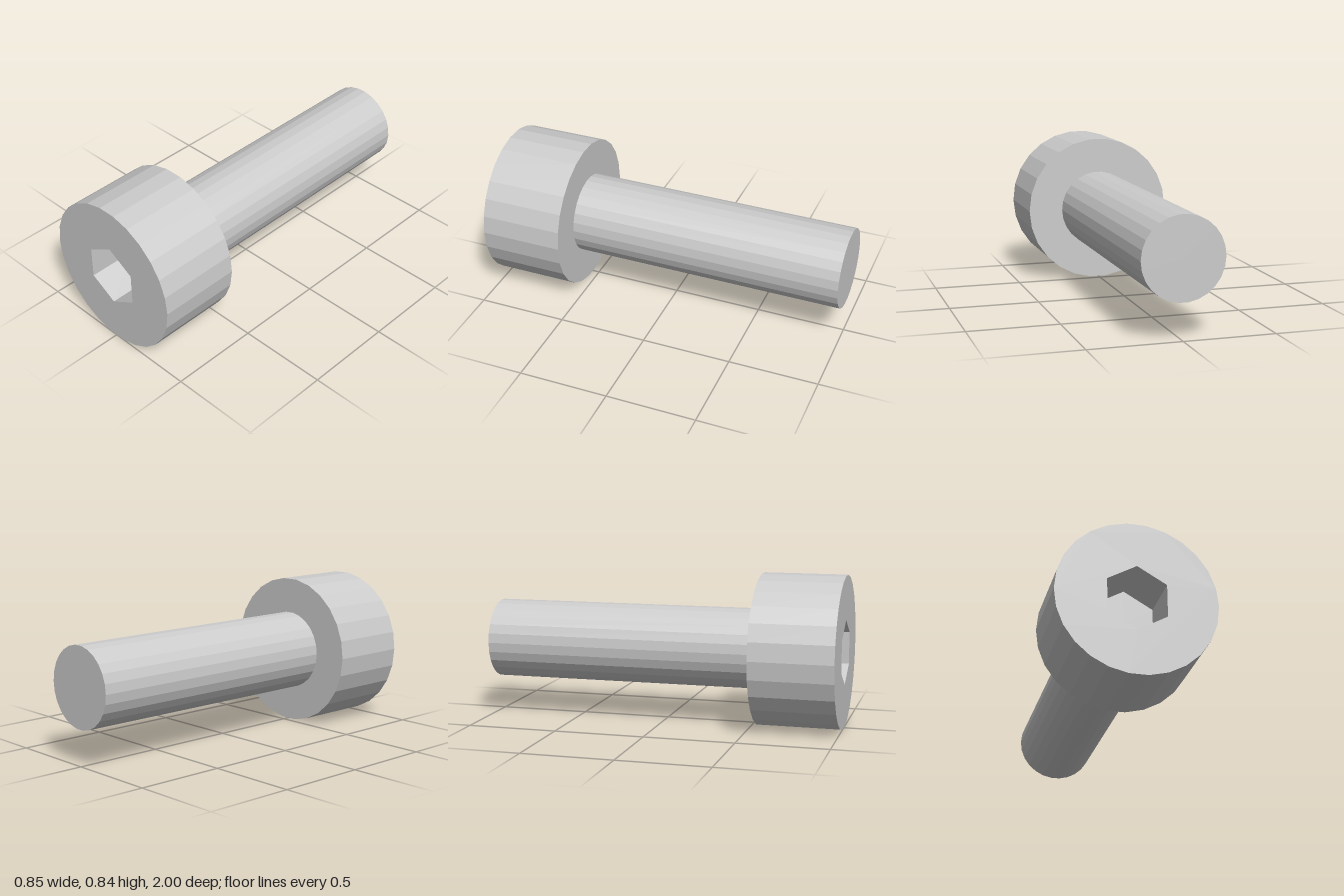
import * as THREE from 'three';

const SIDES = 26;
const HEAD_R = 0.4225, SHAFT_R = 0.223, SOCKET_R = 0.178;
const FRONT = 1, HEAD_BACK = 0.54, SOCKET_FLOOR = 0.73, TIP = -1;
const AXIS_Y = 0.42;

const material = new THREE.MeshStandardMaterial({ color: 0xcccccc, flatShading: true });

function part(name, geometry) {
  const flat = geometry.index ? geometry.toNonIndexed() : geometry;
  flat.computeVertexNormals();
  const mesh = new THREE.Mesh(flat, material);
  mesh.name = name;
  return mesh;
}

// Faceted solid of revolution around z, from [radius, z] pairs
function turned(name, profile, sides, start) {
  const points = profile.map(([r, z]) => new THREE.Vector2(r, z));
  return part(name, new THREE.LatheGeometry(points, sides, start).rotateX(Math.PI / 2));
}

function polygon(radius, sides, start) {
  return Array.from({ length: sides }, (_, i) => {
    const a = start + (i / sides) * Math.PI * 2;
    return new THREE.Vector2(radius * Math.cos(a), radius * Math.sin(a));
  });
}

export function createModel() {
  const bolt = new THREE.Group();
  bolt.name = 'socketHeadBolt';

  // Plain shaft with a flat tip
  bolt.add(turned('shaft', [[0, TIP], [SHAFT_R, TIP], [SHAFT_R, HEAD_BACK]], SIDES, Math.PI / 2));

  // Underside and rim of the head
  bolt.add(turned('headBody', [[SHAFT_R, HEAD_BACK], [HEAD_R, HEAD_BACK], [HEAD_R, FRONT]], SIDES, Math.PI / 2));

  // Front face with a hexagonal opening
  const face = new THREE.Shape(polygon(HEAD_R, SIDES, 0));
  face.holes.push(new THREE.Path(polygon(SOCKET_R, 6, Math.PI / 2)));
  bolt.add(part('headFace', new THREE.ShapeGeometry(face).translate(0, 0, FRONT)));

  // Hex socket: the profile runs inward so its walls and floor face the opening
  bolt.add(turned('hexSocket', [[SOCKET_R, FRONT], [SOCKET_R, SOCKET_FLOOR], [0, SOCKET_FLOOR]], 6, 0));

  bolt.position.y = AXIS_Y;
  const model = new THREE.Group();
  model.add(bolt);
  return model;
}
